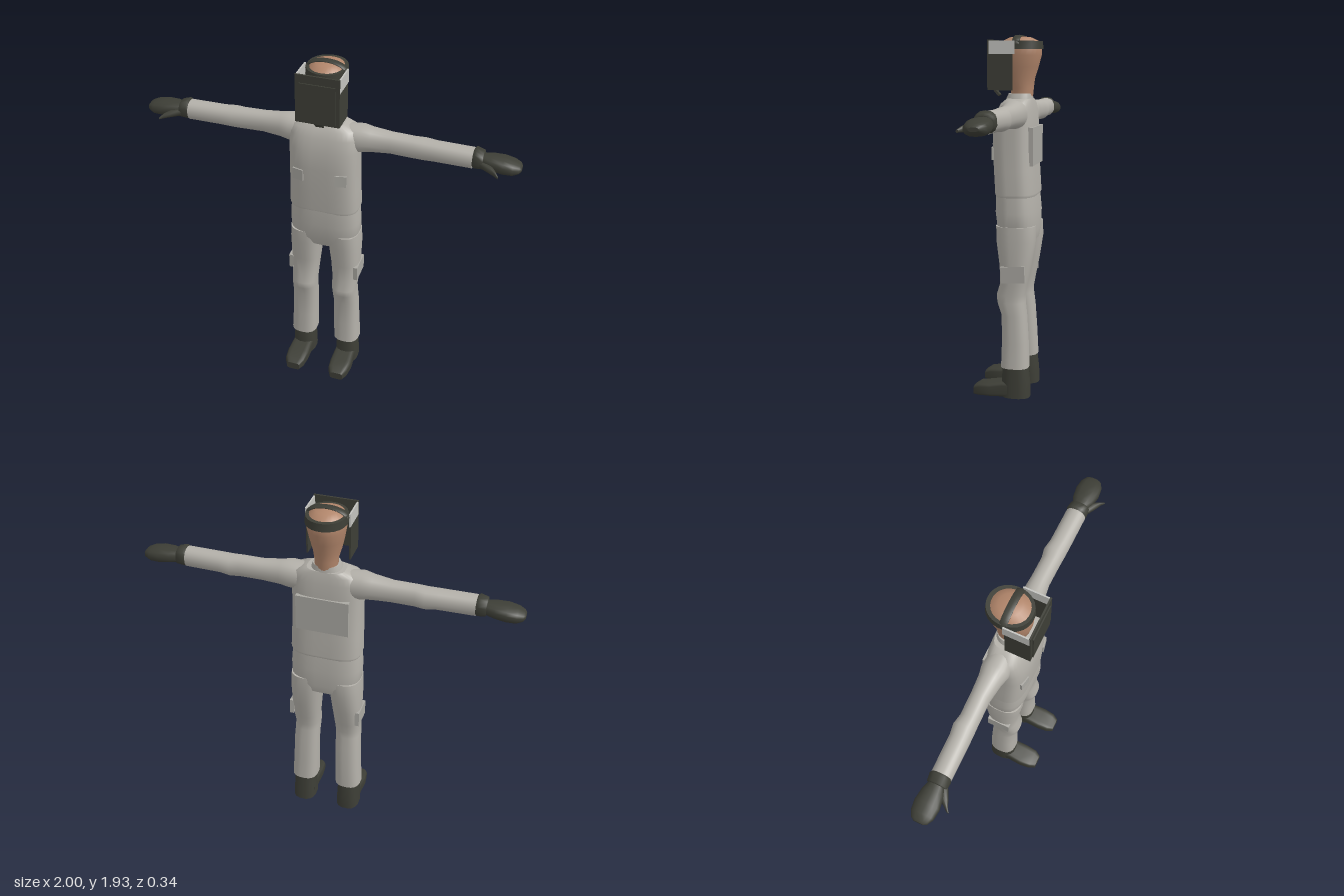
import * as THREE from 'three';

const mat = (name, color) => Object.assign(new THREE.MeshStandardMaterial({ color }), { name });

// Points of a rounded-box cross-section are written on two axes around a third.
const AXES = { y: [0, 2, 1], x: [2, 1, 0], z: [1, 0, 2] };

// Skin over sections [t, minU, maxU, minV, maxV], with t rising along the axis, closed by flat caps.
function loft(axis, sections, power = 2.4, n = 24) {
  const [u, v, t] = AXES[axis], pos = [], idx = [];
  const bend = (s) => Math.sign(s) * Math.abs(s) ** (2 / power);
  const put = (a, b, c) => { const p = [0, 0, 0]; p[u] = a; p[v] = b; p[t] = c; pos.push(...p); };
  const ring = ([at, u0, u1, v0, v1]) => {
    for (let j = 0; j < n; j++) {
      const a = ((j + 0.5) / n) * Math.PI * 2;
      put((u0 + u1) / 2 + bend(Math.cos(a)) * (u1 - u0) / 2, (v0 + v1) / 2 + bend(Math.sin(a)) * (v1 - v0) / 2, at);
    }
  };
  sections.forEach(ring);
  for (let i = 0; i < sections.length - 1; i++) {
    for (let j = 0; j < n; j++) {
      const a = i * n + j, b = i * n + (j + 1) % n;
      idx.push(a, a + n, b, b, a + n, b + n);
    }
  }
  [sections[0], sections.at(-1)].forEach((s, end) => {
    const base = pos.length / 3;
    ring(s);
    put((s[1] + s[2]) / 2, (s[3] + s[4]) / 2, s[0]);
    for (let j = 0; j < n; j++) {
      const a = base + j, b = base + (j + 1) % n;
      idx.push(base + n, ...(end ? [b, a] : [a, b]));
    }
  });
  const g = new THREE.BufferGeometry();
  g.setAttribute('position', new THREE.Float32BufferAttribute(pos, 3));
  g.setIndex(idx);
  g.computeVertexNormals();
  return g;
}

// Box given by its extents
function box(x0, x1, y0, y1, z0, z1) {
  return new THREE.BoxGeometry(x1 - x0, y1 - y0, z1 - z0)
    .translate((x0 + x1) / 2, (y0 + y1) / 2, (z0 + z1) / 2);
}

function mirrored(geometry) {
  const g = geometry.clone().scale(-1, 1, 1), i = g.index.array;
  for (let k = 0; k < i.length; k += 3) [i[k + 1], i[k + 2]] = [i[k + 2], i[k + 1]];
  g.computeVertexNormals();
  return g;
}

export function createModel() {
  const suit = mat('suitGrey', 0xb3b0a9);
  const pocket = mat('pocketGrey', 0xaaa8a2);
  const dark = mat('darkLeather', 0x3d3e36);
  const pale = mat('paleGrey', 0xc2c2be);
  const skin = mat('skin', 0xb2866b);

  const model = new THREE.Group();
  model.name = 'workerFigure';
  const add = (name, geometry, material) => {
    const m = new THREE.Mesh(geometry, material);
    m.name = name;
    model.add(m);
  };
  const pair = (name, geometry, material) => {
    add(name + 'Left', geometry, material);
    add(name + 'Right', mirrored(geometry), material);
  };

  // Jacket and collar
  add('jacket', loft('y', [
    [1.085, -0.185, 0.185, -0.148, 0.064], [1.1, -0.19, 0.19, -0.153, 0.068],
    [1.22, -0.186, 0.186, -0.146, 0.075], [1.36, -0.183, 0.183, -0.14, 0.082],
    [1.46, -0.184, 0.184, -0.138, 0.078], [1.53, -0.182, 0.182, -0.132, 0.058],
    [1.57, -0.165, 0.165, -0.125, 0.04], [1.595, -0.1, 0.1, -0.118, 0.015],
  ], 3.2, 32), suit);
  add('collar', loft('y', [
    [1.57, -0.085, 0.085, -0.122, 0.025], [1.6, -0.077, 0.077, -0.118, 0.02], [1.622, -0.068, 0.068, -0.115, 0.01],
  ]), suit);

  // Trousers
  add('hips', loft('y', [
    [0.85, -0.15, 0.15, -0.145, 0.035], [0.9, -0.188, 0.188, -0.155, 0.055],
    [1.0, -0.191, 0.191, -0.157, 0.068], [1.095, -0.184, 0.184, -0.148, 0.066],
  ], 2.9, 32), suit);
  pair('trouserLeg', loft('y', [
    [0.165, 0.056, 0.202, -0.128, 0.024], [0.3, 0.054, 0.195, -0.122, 0.02],
    [0.45, 0.052, 0.19, -0.112, 0.022], [0.52, 0.05, 0.187, -0.104, 0.046],
    [0.56, 0.048, 0.185, -0.104, 0.05], [0.62, 0.045, 0.19, -0.115, 0.03],
    [0.72, 0.036, 0.194, -0.135, 0.034], [0.85, 0.022, 0.196, -0.156, 0.052],
    [0.93, 0.012, 0.192, -0.153, 0.055],
  ], 2.6), suit);

  // Sleeves
  pair('sleeve', loft('x', [
    [0.1, -0.115, 0.02, 1.44, 1.585], [0.19, -0.122, 0.022, 1.445, 1.592],
    [0.24, -0.112, 0.008, 1.452, 1.583], [0.34, -0.106, -0.006, 1.458, 1.572],
    [0.46, -0.104, -0.004, 1.456, 1.57], [0.51, -0.114, -0.002, 1.455, 1.568],
    [0.57, -0.105, 0, 1.46, 1.566], [0.76, -0.102, 0.002, 1.461, 1.566],
  ], 2.2), suit);

  // Gloves
  pair('gloveCuff', loft('x', [
    [0.75, -0.092, -0.008, 1.478, 1.55], [0.77, -0.105, 0.004, 1.464, 1.572],
    [0.81, -0.1, 0.002, 1.468, 1.56], [0.813, -0.085, -0.012, 1.478, 1.548],
  ], 2.4, 14), dark);
  pair('gloveHand', loft('x', [
    [0.8, -0.088, -0.012, 1.478, 1.545], [0.85, -0.106, 0.005, 1.472, 1.547],
    [0.91, -0.114, 0.014, 1.465, 1.545], [0.96, -0.108, 0.008, 1.466, 1.535],
    [0.99, -0.092, -0.008, 1.478, 1.522], [1.0, -0.075, -0.025, 1.49, 1.51],
  ], 2.4, 14), dark);
  pair('gloveThumb', loft('x', [
    [0.8, -0.05, 0.005, 1.485, 1.525], [0.85, -0.025, 0.03, 1.48, 1.518],
    [0.88, 0.018, 0.042, 1.478, 1.508], [0.9, 0.044, 0.056, 1.478, 1.492],
  ], 2.2, 10), dark);

  // Boots
  pair('bootShaft', loft('y', [
    [0, 0.066, 0.196, -0.135, 0.02], [0.08, 0.068, 0.194, -0.132, 0.02], [0.185, 0.072, 0.188, -0.12, 0.014],
  ], 2.6, 16), dark);
  pair('bootFoot', loft('z', [
    [-0.09, 0, 0.09, 0.07, 0.19], [0.01, 0, 0.085, 0.072, 0.19], [0.08, 0, 0.072, 0.07, 0.195],
    [0.14, 0, 0.065, 0.076, 0.188], [0.172, 0, 0.045, 0.095, 0.17],
  ], 5, 16), dark);

  // Pockets and back panel
  pair('chestPocket', box(-0.03, 0.03, -0.032, 0.032, -0.008, 0.008)
    .rotateY(0.2).translate(0.115, 1.312, 0.071), pocket);
  pair('thighPocket', box(-0.012, 0.012, -0.043, 0.043, -0.064, 0.064)
    .rotateX(0.05).translate(0.187, 0.68, -0.05), pocket);
  add('backPanel', box(-0.14, 0.14, 1.25, 1.45, -0.146, -0.11), pocket);

  // Head and neck
  add('head', loft('y', [
    [1.58, -0.06, 0.06, -0.115, 0], [1.65, -0.06, 0.06, -0.122, 0.0], [1.7, -0.072, 0.072, -0.128, 0.045],
    [1.76, -0.086, 0.086, -0.147, 0.056], [1.82, -0.097, 0.097, -0.163, 0.06],
    [1.87, -0.098, 0.098, -0.165, 0.058], [1.895, -0.085, 0.085, -0.145, 0.042],
    [1.912, -0.055, 0.055, -0.11, 0.005], [1.917, -0.02, 0.02, -0.07, -0.03],
  ], 2.1), skin);

  // Headband and strap over the crown
  add('headband', loft('y', [
    [1.852, -0.106, 0.106, -0.172, 0.064], [1.893, -0.103, 0.103, -0.168, 0.06],
  ], 2.1), dark);
  add('crownStrap', new THREE.TorusGeometry(0.1, 0.01, 6, 20, Math.PI)
    .scale(1, 0.46, 2.2).translate(0, 1.875, -0.045), dark);

  // Welding mask, open at the top, back and bottom
  add('maskFront', box(-0.115, 0.115, 1.64, 1.9, 0.092, 0.101), dark);
  add('maskFrontPlate', box(-0.094, 0.094, 1.652, 1.857, 0.1, 0.107), dark);
  pair('maskSide', box(0.107, 0.115, 1.64, 1.825, -0.032, 0.095), dark);
  pair('maskSideStrip', box(0.107, 0.115, 1.825, 1.895, -0.042, 0.095), pale);
  add('maskChinFlap', box(-0.022, 0.022, -0.022, 0.022, -0.006, 0.006)
    .rotateX(0.7).translate(0, 1.627, 0.075), dark);

  return model;
}
